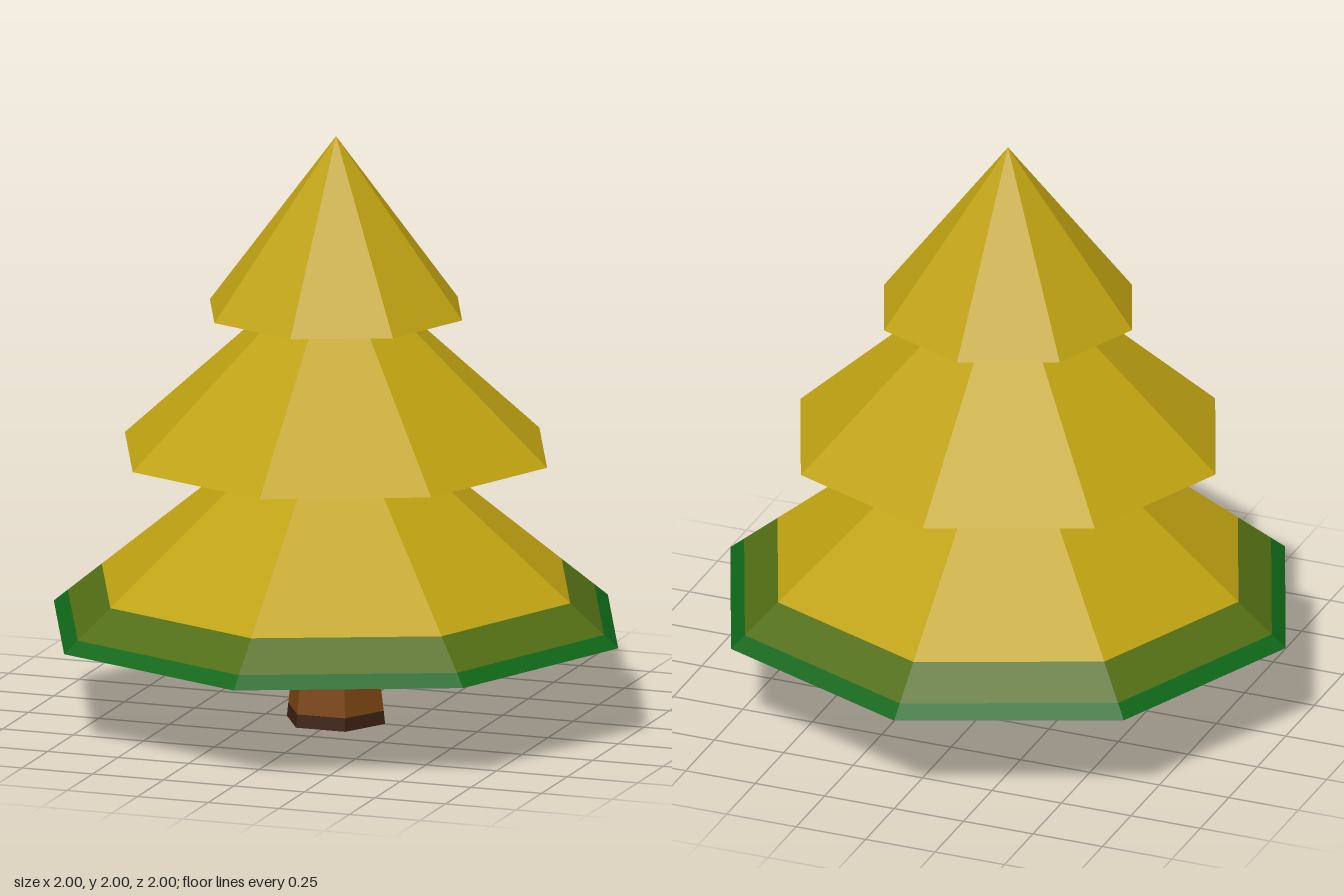
import * as THREE from 'three';

const paint = (name, color, side = THREE.FrontSide) => {
  const m = new THREE.MeshStandardMaterial({ color, side, flatShading: true });
  m.name = name;
  return m;
};

export function createModel() {
  const tree = new THREE.Group();
  tree.name = 'pineTree';

  const gold = paint('goldFoliage', 0xbfa211);
  const olive = paint('oliveFoliage', 0x526e14);
  const green = paint('greenFoliage', 0x0f6618);
  const bark = paint('bark', 0x7a4512, THREE.DoubleSide);
  const darkBark = paint('darkBark', 0x3a2010, THREE.DoubleSide);

  // One straight-sided ring from y0 to y1, optionally turned about y
  const ring = (name, material, sides, r0, y0, r1, y1, turn = 0, open = true) => {
    const geometry = r1 === 0
      ? new THREE.ConeGeometry(r0, y1 - y0, sides, 1, open)
      : new THREE.CylinderGeometry(r1, r0, y1 - y0, sides, 1, open);
    geometry.rotateY(turn).translate(0, (y0 + y1) / 2, 0);
    const mesh = new THREE.Mesh(geometry, material);
    mesh.name = name;
    tree.add(mesh);
  };

  // Hexagonal hollow trunk with a dark foot
  ring('trunkFoot', darkBark, 6, 0.174, 0, 0.169, 0.045, Math.PI / 2);
  ring('trunk', bark, 6, 0.169, 0.045, 0.134, 0.33, Math.PI / 2);

  // Lowest tier: green rim, olive band, gold top on a single slope
  const base = 0.327, apex = 1.153;
  const slopeY = (r) => base + (1 - r) * (apex - base);
  ring('lowerTierRim', green, 8, 1, base, 0.95, slopeY(0.95));
  ring('lowerTierBand', olive, 8, 0.95, slopeY(0.95), 0.83, slopeY(0.83));
  ring('lowerTierTop', gold, 8, 0.83, slopeY(0.83), 0, apex);

  // Closed underside of the lowest tier
  const under = new THREE.Mesh(new THREE.CircleGeometry(1, 8).rotateX(Math.PI / 2), green);
  under.position.y = base;
  under.name = 'lowerTierUnderside';
  tree.add(under);

  // Upper tiers
  ring('middleTier', gold, 8, 0.748, 0.925, 0, 1.61, 0, false);
  ring('topTier', gold, 8, 0.447, 1.405, 0, 2, 0, false);

  return tree;
}
